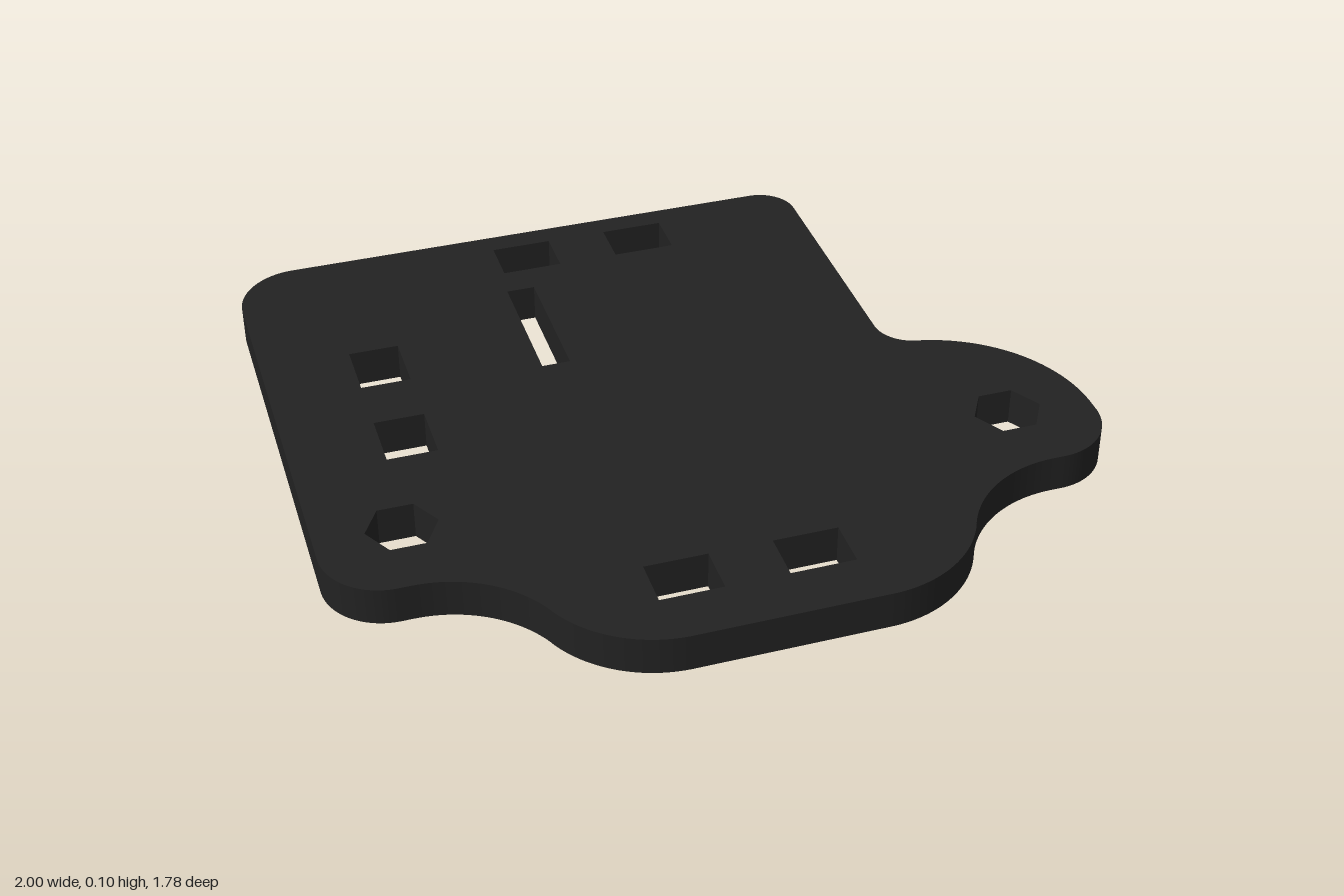
import * as THREE from 'three';
import { toCreasedNormals } from 'three/addons/utils/BufferGeometryUtils.js';

const THICKNESS = 0.1;
const PI = Math.PI;

// Plan coordinates: shape x = model x, shape y = -z
function polygonHole(points) {
  return new THREE.Path(points.map(([x, z]) => new THREE.Vector2(x, -z)));
}

function rectHole(x0, x1, z0, z1) {
  return polygonHole([[x0, z0], [x1, z0], [x1, z1], [x0, z1]]);
}

function hexHole(cx, cz, r) {
  const points = [];
  for (let i = 0; i < 6; i++) {
    points.push([cx + r * Math.cos(i * PI / 3), cz + r * Math.sin(i * PI / 3)]);
  }
  return polygonHole(points);
}

function plateOutline() {
  const s = 0.316;                        // radius of both arcs in each front S-curve
  const bend = Math.atan2(0.272, 0.57);   // angle where those arcs meet
  const neck = Math.acos(0.2);            // angle where the ear meets its fillet
  const shape = new THREE.Shape();
  shape.moveTo(-0.24, -0.89);
  // front tongue, right-hand S-curve
  shape.absarc(0.24, -0.574, s, -PI / 2, -bend, false);
  shape.absarc(0.81, -0.846, s, PI - bend, PI / 2, true);
  // rounded ear and the fillet into the straight side
  shape.absarc(0.84, -0.37, 0.16, -PI / 2, 0, false);
  shape.absarc(0.6, -0.34, 0.4, 0, neck, false);
  shape.absarc(0.7, 0.15, 0.1, neck + PI, PI, true);
  // back corners and front-left corner
  shape.absarc(0.5, 0.79, 0.1, 0, PI / 2, false);
  shape.absarc(-0.835, 0.725, 0.165, PI / 2, PI, false);
  shape.absarc(-0.84, -0.37, 0.16, PI, 1.5 * PI, false);
  // left-hand S-curve back to the tongue
  shape.absarc(-0.81, -0.846, s, PI / 2, bend, true);
  shape.absarc(-0.24, -0.574, s, PI + bend, 1.5 * PI, false);
  return shape;
}

export function createModel() {
  const group = new THREE.Group();
  group.name = 'mountingPlate';

  const shape = plateOutline();
  // paired slots at the back and front
  for (const [z0, z1] of [[-0.825, -0.7], [0.625, 0.75]]) {
    shape.holes.push(rectHole(-0.28, -0.12, z0, z1), rectHole(0.04, 0.205, z0, z1));
  }
  // side slots, long slot and hexagonal nut holes
  shape.holes.push(
    rectHole(-0.765, -0.635, -0.44, -0.28),
    rectHole(-0.765, -0.635, -0.12, 0.04),
    rectHole(-0.295, -0.22, -0.607, -0.235),
    hexHole(-0.785, 0.31, 0.09),
    hexHole(0.782, 0.31, 0.09)
  );

  const geometry = new THREE.ExtrudeGeometry(shape, {
    depth: THICKNESS, bevelEnabled: false, curveSegments: 24,
  });
  geometry.rotateX(-PI / 2);

  const plate = new THREE.Mesh(
    toCreasedNormals(geometry, PI / 6),
    new THREE.MeshStandardMaterial({ color: 0x222222 })
  );
  plate.name = 'plate';
  group.add(plate);
  return group;
}
